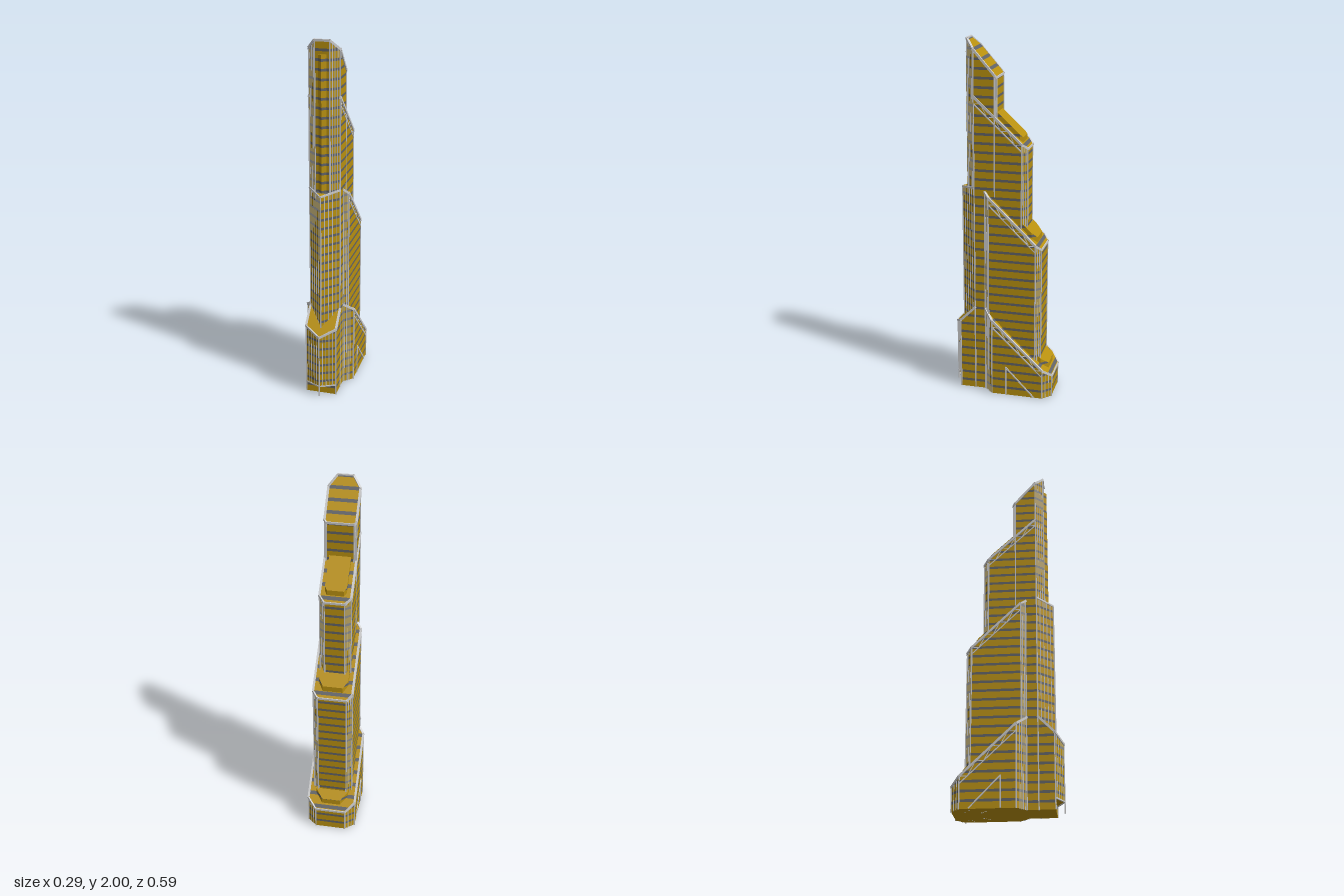
import * as THREE from 'three';

const gold = new THREE.MeshStandardMaterial({ color: 0xb8900f });
const dark = new THREE.MeshStandardMaterial({ color: 0x606266 });
const trim = new THREE.MeshStandardMaterial({ color: 0xcccccc });
const FLOOR = 0.05, GLASS = 0.014;
const V = (x, y, z) => new THREE.Vector3(x, y, z);

// Mirror a half outline (x >= 0, back to front) into a full convex plan
const mirror = half => [...half, ...half.filter(p => p[0] > 0).reverse().map(([x, z]) => [-x, z])];

// Keep the part of a polygon where d(p) >= 0
function clip(poly, d) {
  const out = [];
  poly.forEach((p, i) => {
    const q = poly[(i + 1) % poly.length], a = d(p), b = d(q);
    if (a >= 0) out.push(p);
    if (a * b < 0) out.push(p.clone().lerp(q, a / (a - b)));
  });
  return out;
}

function polyMesh(polys, material, name) {
  const pos = [];
  for (const p of polys)
    for (let i = 1; i < p.length - 1; i++)
      for (const v of [p[0], p[i], p[i + 1]]) pos.push(v.x, v.y, v.z);
  const g = new THREE.BufferGeometry();
  g.setAttribute('position', new THREE.Float32BufferAttribute(pos, 3));
  g.computeVertexNormals();
  const m = new THREE.Mesh(g, material);
  m.name = name;
  return m;
}

// Straight square bar between two points
function bar(group, p, q, w, name) {
  const m = new THREE.Mesh(new THREE.BoxGeometry(w, w, p.distanceTo(q) + w * 0.5), trim);
  m.position.copy(p).lerp(q, 0.5);
  m.lookAt(q);
  m.name = name;
  group.add(m);
}

// Storeyed block with a sloping roof y = a + b z, banded in gold and dark glass
function block({ name, half, a, b, y0 = 0, plainRoof = false }) {
  const plan = mirror(half), roof = z => a + b * z;
  const faces = plan.map(([x, z], i) => {
    const [u, w] = plan[(i + 1) % plan.length];
    return [V(x, y0, z), V(x, roof(z), z), V(u, roof(w), w), V(u, y0, w)];
  });
  const top = plan.map(([x, z]) => V(x, roof(z), z)).reverse();
  const golds = [plan.map(([x, z]) => V(x, y0, z))], darks = [];
  if (plainRoof) golds.push(top); else faces.push(top);
  for (let y = 0; y < 2; y += FLOOR)
    for (const [lo, hi, list] of [[y, y + FLOOR - GLASS, golds], [y + FLOOR - GLASS, y + FLOOR, darks]])
      for (const f of faces) {
        const c = clip(clip(f, p => p.y - lo), p => hi - p.y);
        if (c.length > 2) list.push(c);
      }
  const g = new THREE.Group();
  g.name = name;
  g.add(polyMesh(golds, gold, 'floors'), polyMesh(darks, dark, 'windowBands'));
  return g;
}

// Roof edging, corner posts and mullions on the angled faces of a block
function addTrim(g, { half, a, b, y0 = 0, edge = 0.012, mullions = 2, openBack = false }) {
  const plan = mirror(half), roof = z => a + b * z;
  plan.forEach(([x, z], i) => {
    const [u, w] = plan[(i + 1) % plan.length];
    bar(g, V(x, y0, z), V(x, roof(z), z), 0.007, 'cornerPost');
    if (openBack && i === plan.length - 1) return;
    bar(g, V(x, roof(z) - edge / 2, z), V(u, roof(w) - edge / 2, w), edge, 'roofEdge');
    if (Math.abs(x - u) > 0.005 && Math.abs(z - w) > 0.005)
      for (let k = 1; k <= mullions; k++) {
        const t = k / (mullions + 1), mx = x + (u - x) * t, mz = z + (w - z) * t;
        bar(g, V(mx, y0, mz), V(mx, roof(mz), mz), 0.004, 'mullion');
      }
  });
}

// Zigzag lattice under the sloping edge on both flanks
function addLattice(g, x, z0, z1, a, b) {
  const drop = 0.045, n = Math.round((z1 - z0) / 0.04);
  for (const s of [-x, x]) {
    const at = (i, low) => {
      const z = z0 + (z1 - z0) * i / n;
      return V(s, a + b * z - (low ? drop : 0.006), z);
    };
    bar(g, at(0, true), at(n, true), 0.006, 'latticeRail');
    for (let i = 0; i < n; i++) bar(g, at(i, i % 2), at(i + 1, (i + 1) % 2), 0.004, 'latticeBrace');
  }
}

export function createModel() {
  const tower = new THREE.Group();
  tower.name = 'tower';

  // Stepped tiers, widest at the bottom
  const tiers = [
    { name: 'lowerTier', half: [[0.085, -0.285], [0.135, -0.24], [0.135, 0.05], [0.085, 0.1]], a: 0.404, b: 0.95, lattice: [-0.24, 0.05] },
    { name: 'middleTier', half: [[0.08, -0.217], [0.108, -0.19], [0.108, 0.075], [0.085, 0.1]], a: 1.084, b: 0.96, lattice: [-0.19, 0.075] },
    { name: 'upperTier', half: [[0.055, -0.132], [0.084, -0.105], [0.084, 0.16]], a: 1.551, b: 0.93, lattice: [-0.105, 0.16] },
    { name: 'topTier', half: [[0.073, 0.035], [0.083, 0.045], [0.083, 0.16], [0.04, 0.203]], a: 1.764, b: 1.15, y0: 1.15, mullions: 3 },
  ];
  for (const t of tiers) {
    const g = block(t);
    addTrim(g, t);
    if (t.lattice) addLattice(g, t.half[1][0], ...t.lattice, t.a, t.b);
    tower.add(g);
  }

  // Raised blocks behind each roof edge
  [
    { half: [[0.052, -0.26], [0.092, -0.22], [0.092, 0.03]], a: 0.434, b: 0.95 },
    { half: [[0.055, -0.19], [0.08, -0.16], [0.08, 0.0]], a: 1.114, b: 0.96, y0: 0.5 },
    { half: [[0.045, -0.105], [0.058, -0.09], [0.058, 0.05]], a: 1.579, b: 0.93, y0: 1.2 },
  ].forEach(r => tower.add(block({ ...r, name: 'raisedRoof', plainRoof: true })));

  // Pointed front bay of the shaft
  const prow = { name: 'shaftProw', half: [[0.084, 0.16], [0, 0.248]], a: 1.23, b: -0.2, y0: 0.38, mullions: 4, edge: 0.01, openBack: true };
  const prowGroup = block(prow);
  addTrim(prowGroup, prow);
  tower.add(prowGroup);

  // Slim pointed strip up the face of the top tier
  const strip = { name: 'frontStrip', half: [[0.025, 0.2], [0, 0.222]], a: 1.92, b: 0, y0: 1.15 };
  tower.add(block(strip));

  // Front base block, with its pointed bay raised over the entrance
  tower.add(block({ name: 'frontBase', half: [[0.085, 0.16], [0.085, 0.245]], a: 0.66, b: -1, plainRoof: true }));
  const bay = { name: 'frontBay', half: [[0.085, 0.245], [0, 0.287]], a: 0.66, b: -1, y0: 0.06, plainRoof: true };
  const bayGroup = block(bay);
  addTrim(bayGroup, { ...bay, mullions: 4, openBack: true });
  for (const [x, z] of mirror(bay.half)) bar(bayGroup, V(x, 0.003, z), V(x, 0.06, z), 0.007, 'entrancePost');
  for (const s of [-1, 1]) {
    bar(bayGroup, V(s * 0.085, 0.06, 0.245), V(0, 0.06, 0.287), 0.007, 'entranceLintel');
    bar(bayGroup, V(s * 0.085, 0.495, 0.16), V(s * 0.085, 0.41, 0.245), 0.012, 'roofEdge');
  }
  tower.add(bayGroup);

  // Triangular frames low on both flanks
  for (const x of [-0.136, 0.136]) {
    bar(tower, V(x, 0.003, -0.03), V(x, 0.17, -0.03), 0.007, 'flankFrame');
    bar(tower, V(x, 0.17, -0.03), V(x, 0.004, -0.19), 0.007, 'flankFrame');
  }
  return tower;
}
